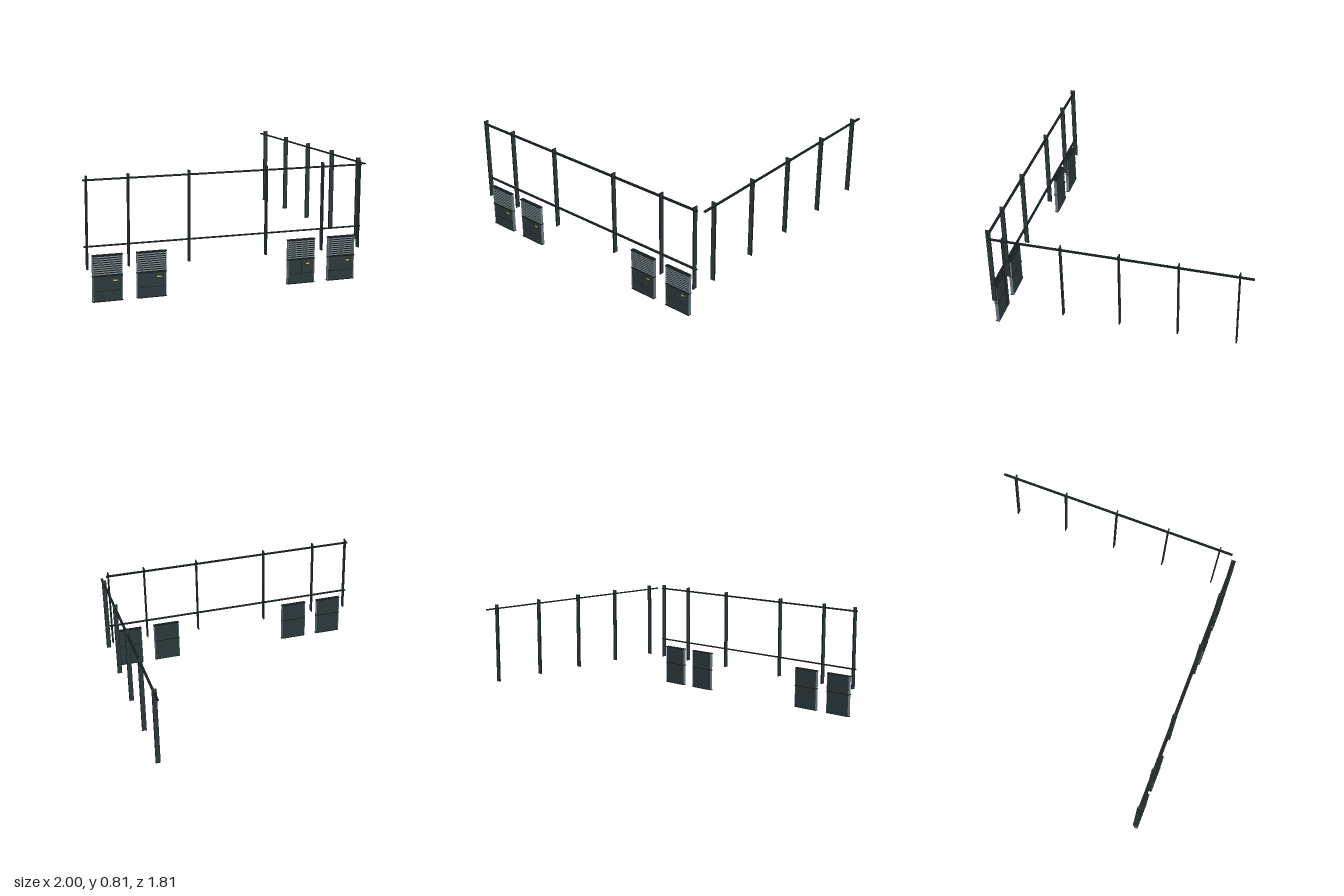
import * as THREE from 'three';

const mat = (name, color) => {
  const m = new THREE.MeshStandardMaterial({ color });
  m.name = name;
  return m;
};

export function createModel() {
  const steel = mat('dark steel', 0x2a3739);
  const black = mat('black trim', 0x151d1e);
  const grey = mat('grey metal', 0x67757a);
  const yellow = mat('yellow label', 0xc9b53a);

  const root = new THREE.Group();
  root.name = 'fenceAndCabinets';

  // box given by size and centre
  const box = (parent, name, material, w, h, d, x, y, z) => {
    const m = new THREE.Mesh(new THREE.BoxGeometry(w, h, d), material);
    m.name = name;
    m.position.set(x, y, z);
    parent.add(m);
    return m;
  };

  // upright with a steel web and two dark flanges, deep along z
  const makePost = (name, bottom, top) => {
    const g = new THREE.Group();
    g.name = name;
    const h = top - bottom, y = (top + bottom) / 2;
    box(g, 'postWeb', steel, 0.007, h, 0.026, 0, y, 0);
    for (const s of [-1, 1]) box(g, 'postFlange', black, 0.009, h, 0.003, 0, y, s * 0.0145);
    return g;
  };

  // front fence run
  const front = new THREE.Group();
  front.name = 'frontFence';
  root.add(front);
  for (const x of [-0.98, -0.706, -0.298, 0.245, 0.655, 0.93]) {
    const p = makePost('frontPost', 0.215, 0.815);
    p.position.set(x, 0, 0.884);
    front.add(p);
  }
  box(front, 'topRail', black, 1.946, 0.01, 0.016, -0.027, 0.786, 0.882);
  box(front, 'lowerRail', black, 1.946, 0.008, 0.016, -0.027, 0.362, 0.882);

  // side fence run
  const side = new THREE.Group();
  side.name = 'sideFence';
  root.add(side);
  for (const z of [0.765, 0.37, -0.023, -0.418, -0.812]) {
    const p = makePost('sidePost', 0.245, 0.815);
    p.rotation.y = Math.PI / 2;
    p.position.set(0.984, 0, z);
    side.add(p);
  }
  box(side, 'sideRail', black, 0.016, 0.008, 1.765, 0.984, 0.786, -0.0225);

  // equipment cabinet with louvred top and panelled lower half
  const makeCabinet = (split) => {
    const g = new THREE.Group();
    g.name = 'cabinet';
    box(g, 'backPanel', steel, 0.19, 0.3, 0.016, 0, 0.152, 0.886);
    for (const s of [-1, 1]) {
      box(g, 'sidePanel', grey, 0.005, 0.292, 0.021, s * 0.0965, 0.152, 0.8885);
      box(g, 'rearBracket', black, 0.006, 0.006, 0.01, s * 0.09, 0.166, 0.875);
      box(g, 'foot', black, 0.006, 0.01, 0.008, s * 0.09, 0.018, 0.876);
    }
    box(g, 'topCap', black, 0.2, 0.007, 0.026, 0, 0.3015, 0.89);
    box(g, 'middleBand', black, 0.2, 0.007, 0.026, 0, 0.1665, 0.89);
    box(g, 'base', black, 0.2, 0.006, 0.026, 0, 0.003, 0.89);
    box(g, 'lowerDoor', steel, 0.186, 0.156, 0.006, 0, 0.084, 0.896);
    // louvre slats over a dark recess
    box(g, 'louvreRecess', black, 0.186, 0.128, 0.002, 0, 0.234, 0.895);
    for (let i = 0; i < 9; i++) {
      const slat = box(g, 'louvreSlat', grey, 0.186, 0.007, 0.002, 0, 0.179 + i * 0.0138, 0.898);
      slat.rotation.x = -0.3;
    }
    // drawer slot, handle and label
    box(g, 'drawerLine', black, 0.155, 0.003, 0.002, 0, 0.07, 0.8995);
    for (const s of [-1, 1]) box(g, 'drawerEnd', black, 0.003, 0.018, 0.002, s * 0.0775, 0.073, 0.8995);
    box(g, 'labelFrame', black, 0.034, 0.016, 0.001, 0.048, 0.135, 0.8993);
    box(g, 'label', yellow, 0.028, 0.01, 0.001, 0.048, 0.135, 0.9);
    if (split) box(g, 'doorSeam', black, 0.003, 0.115, 0.001, 0, 0.09, 0.8995);
    return g;
  };

  [[-0.85, false], [-0.555, false], [0.502, true], [0.8, false]].forEach(([x, split]) => {
    const c = makeCabinet(split);
    c.position.x = x;
    root.add(c);
  });

  return root;
}
